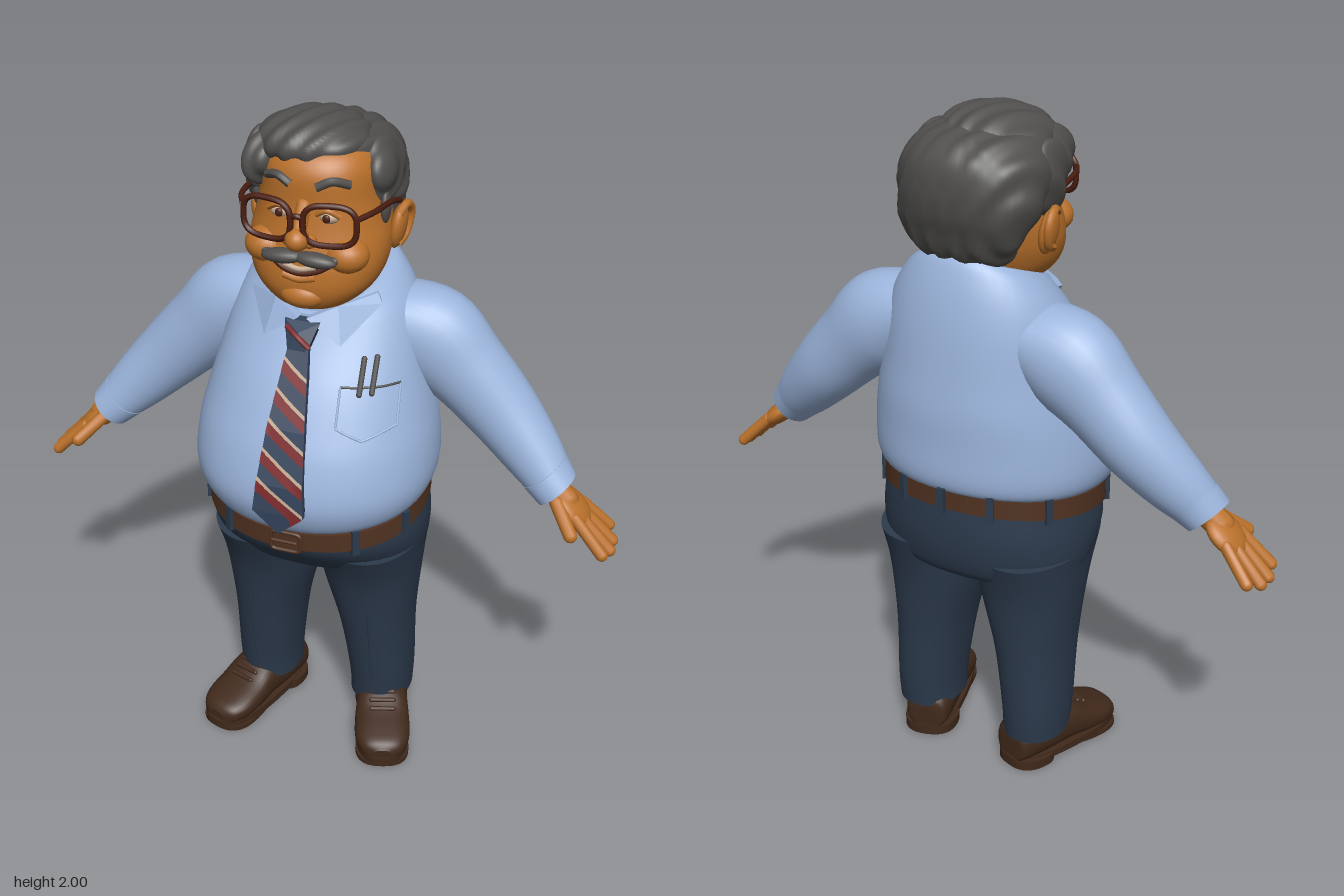
import * as THREE from 'three';
import { ConvexGeometry } from 'three/addons/geometries/ConvexGeometry.js';

const V = (x, y, z) => new THREE.Vector3(x, y, z);
const paint = (name, color) => Object.assign(new THREE.MeshStandardMaterial({ color }), { name });
const M = {
  shirt: paint('shirt blue', 0x9cb5dc), trousers: paint('trouser navy', 0x2c3a4c), skin: paint('skin', 0xba712b),
  hair: paint('hair grey', 0x4f4e4c), leather: paint('belt leather', 0x4e3120), shoe: paint('shoe brown', 0x40291b),
  tie: paint('tie navy', 0x34435a), red: paint('tie red', 0x7d2a2c), cream: paint('cream', 0xc4ab92),
  frame: paint('spectacle frame', 0x4a1d10),
};

// Catmull-Rom interpolation between rows of numbers
function smooth(rows, k = 5) {
  const out = [], at = i => rows[Math.min(Math.max(i, 0), rows.length - 1)];
  for (let i = 0; i < rows.length - 1; i++) for (let j = 0; j < k; j++) {
    const t = j / k, [a, b, c, d] = [at(i - 1), at(i), at(i + 1), at(i + 2)];
    out.push(b.map((v, n) => {
      const cubic = 3 * (v - c[n]) + d[n] - a[n], square = 2 * a[n] - 5 * v + 4 * c[n] - d[n];
      return v + 0.5 * t * (c[n] - a[n] + t * (square + t * cubic));
    }));
  }
  return [...out, rows[rows.length - 1]];
}

// Closed skin over rings of points, with flat end caps, always facing outwards
function skin(rings) {
  const n = rings[0].length, pts = rings.flat(), idx = [];
  for (let i = 0; i < rings.length - 1; i++) for (let j = 0; j < n; j++) {
    const a = i * n + j, b = i * n + (j + 1) % n;
    idx.push(a, a + n, b, b, a + n, b + n);
  }
  [rings[0], rings[rings.length - 1]].forEach((ring, end) => {
    const c = pts.length;
    pts.push(ring.reduce((s, p) => s.add(p), V(0, 0, 0)).divideScalar(n), ...ring.map(p => p.clone()));
    for (let j = 0; j < n; j++) {
      const a = c + 1 + j, b = c + 1 + (j + 1) % n;
      if (end) idx.push(c, b, a);
      else idx.push(c, a, b);
    }
  });
  let volume = 0;
  for (let i = 0; i < idx.length; i += 3) volume += pts[idx[i]].dot(V(0, 0, 0).crossVectors(pts[idx[i + 1]], pts[idx[i + 2]]));
  if (volume < 0) idx.reverse();
  const g = new THREE.BufferGeometry().setFromPoints(pts);
  g.setIndex(idx);
  g.computeVertexNormals();
  return g;
}
const around = (n, fn, p = 2) => Array.from({ length: n }, (_, j) => {
  const a = j / n * Math.PI * 2, f = v => Math.sign(v) * Math.pow(Math.abs(v), 2 / p);
  return fn(f(Math.cos(a)), f(Math.sin(a)));
});
// Upright loft from rows of [y, half width, front z, back z, tilt, centre x]
function loft(rows, p = 2, k = 5) {
  const full = rows.map(r => [...r, 0, 0].slice(0, 6));
  return skin(smooth(full, k).map(([y, rx, zf, zb, tilt, cx]) => around(48, (c, s) => {
    const z = (zf + zb) / 2 + s * (zf - zb) / 2;
    return V(cx + rx * c, y + tilt * z, z);
  }, p)));
}
// Front surface z of a loft
function frontZ(rows, x, y, p) {
  const i = Math.max(1, rows.findIndex(r => r[0] >= y)), a = rows[i - 1], b = rows[i], t = (y - a[0]) / (b[0] - a[0]);
  const [rx, zf, zb] = [1, 2, 3].map(n => a[n] + (b[n] - a[n]) * t);
  return (zf + zb) / 2 + (zf - zb) / 2 * Math.pow(Math.max(0, 1 - Math.pow(Math.abs(x) / rx, p)), 1 / p);
}
const ball = (x, y, z, rx, ry, rz, turn = 0, seg = 24) =>
  new THREE.SphereGeometry(1, seg, seg / 2).scale(rx, ry, rz).rotateZ(turn).translate(x, y, z);
const tube = (pts, r, closed = false) => new THREE.TubeGeometry(new THREE.CatmullRomCurve3(pts, closed), closed ? 48 : 20, r, 8, closed);
function limb(a, b, r) {
  const d = b.clone().sub(a), q = new THREE.Quaternion().setFromUnitVectors(V(0, 1, 0), d.clone().normalize());
  return new THREE.CapsuleGeometry(r, d.length(), 5, 12).applyQuaternion(q).translate((a.x + b.x) / 2, (a.y + b.y) / 2, (a.z + b.z) / 2);
}
// Combed strands as fine ridges
function comb(g) {
  const p = g.attributes.position, n = g.attributes.normal;
  for (let i = 0; i < p.count; i++) {
    const d = 0.005 * Math.sin(95 * p.getX(i) + 45 * p.getZ(i) + 4 * Math.sin(14 * p.getY(i)));
    p.setXYZ(i, p.getX(i) + n.getX(i) * d, p.getY(i) + n.getY(i) * d, p.getZ(i) + n.getZ(i) * d);
  }
  g.computeVertexNormals();
  return g;
}
function mirrored(geo) {
  const g = geo.clone().scale(-1, 1, 1);
  const idx = g.index ? Array.from(g.index.array) : Array.from({ length: g.attributes.position.count }, (_, i) => i);
  g.setIndex(idx.reverse());
  g.computeVertexNormals();
  return g;
}

export function createModel() {
  const model = new THREE.Group();
  model.name = 'man';
  const add = (name, geo, mat) => { const m = new THREE.Mesh(geo, mat); m.name = name; model.add(m); };
  const pair = (name, geo, mat) => { add(name + 'Left', geo, mat); add(name + 'Right', mirrored(geo), mat); };

  // Shirt body and collar
  const torso = [[0.905, 0.30, 0.25, -0.305, -0.16], [0.935, 0.335, 0.29, -0.325, -0.12], [1.0, 0.352, 0.315, -0.335, -0.05],
    [1.1, 0.346, 0.29, -0.335, 0], [1.2, 0.325, 0.245, -0.335, 0], [1.3, 0.30, 0.19, -0.325, 0], [1.4, 0.275, 0.13, -0.31, -0.1],
    [1.46, 0.245, 0.10, -0.29, -0.25], [1.5, 0.205, 0.085, -0.265, -0.4], [1.53, 0.17, 0.08, -0.25, -0.4]];
  add('shirtBody', loft(torso, 2.15), M.shirt);
  add('collarBand', loft([[1.445, 0.188, 0.105, -0.272, -0.4], [1.515, 0.172, 0.095, -0.255, -0.4]]), M.shirt);
  const wing = [V(0.012, 1.478, 0.125), V(0.11, 1.412, 0.128), V(0.19, 1.5, 0.01), V(0.175, 1.525, 0.0), V(0.09, 1.51, 0.085)];
  pair('collarWing', new ConvexGeometry([...wing, ...wing.map(p => V(p.x * 0.95, p.y, p.z - 0.025))]), M.shirt);

  // Sleeves
  const arm = smooth([[0.16, 1.41, -0.13, 0.10, 0.12], [0.29, 1.355, -0.135, 0.145, 0.125], [0.40, 1.262, -0.135, 0.122, 0.112],
    [0.51, 1.152, -0.13, 0.106, 0.102], [0.61, 1.05, -0.105, 0.088, 0.086], [0.685, 0.972, -0.075, 0.066, 0.07]]);
  const armRings = rows => rows.map(([x, y, z, r, rz], i) => {
    const a = rows[Math.max(i - 1, 0)], b = rows[Math.min(i + 1, rows.length - 1)], l = Math.hypot(b[0] - a[0], b[1] - a[1]);
    return around(28, (c, s) => V(x - (b[1] - a[1]) / l * r * c, y + (b[0] - a[0]) / l * r * c, z + rz * s));
  });
  pair('sleeve', skin(armRings(arm)), M.shirt);
  pair('cuff', skin(armRings([[0.652, 1.007, -0.087, 0.077, 0.079], [0.694, 0.963, -0.072, 0.067, 0.073]])), M.shirt);

  // Hands
  const place = g => g.rotateZ(-0.72).translate(0.685, 0.97, -0.06);
  pair('wrist', place(limb(V(-0.03, 0, -0.01), V(0.05, 0, 0), 0.04)), M.skin);
  pair('palm', place(ball(0.078, 0, -0.005, 0.072, 0.03, 0.066)), M.skin);
  [0.225, 0.243, 0.24, 0.212].forEach((reach, i) => {
    const z = 0.043 - i * 0.032;
    pair('finger' + (i + 1), place(limb(V(0.10, 0.005, z), V(reach, -0.004, z * 1.55), 0.0175)), M.skin);
  });
  pair('thumb', place(limb(V(0.03, -0.005, 0.035), V(0.115, -0.012, 0.098), 0.02)), M.skin);

  // Trousers
  add('trouserSeat', loft([[0.63, 0.2, 0.06, -0.2], [0.67, 0.295, 0.135, -0.272], [0.72, 0.318, 0.187, -0.302],
    [0.80, 0.325, 0.235, -0.316, -0.06], [0.9, 0.312, 0.25, -0.308, -0.17]], 2.2), M.trousers);
  pair('trouserLeg', loft([[0.105, 0.093, 0.022, -0.212, 0, 0.185], [0.2, 0.097, 0.036, -0.22, 0, 0.185], [0.4, 0.112, 0.07, -0.228, 0, 0.172],
    [0.6, 0.146, 0.115, -0.25, 0, 0.156], [0.74, 0.155, 0.18, -0.29, 0, 0.162]], 2.2), M.trousers);
  pair('frontCrease', tube([V(0.19, 0.2, 0.035), V(0.19, 0.35, 0.059), V(0.19, 0.5, 0.09)], 0.004), M.trousers);

  // Belt, loops and buckle
  add('belt', loft([[0.855, 0.326, 0.262, -0.319, -0.17], [0.912, 0.32, 0.262, -0.317, -0.17]], 2.2), M.leather);
  for (const deg of [25, 55, 125, 155, 215, 245, 270, 295, 325]) {
    const a = deg * Math.PI / 180, z = -0.028 + 0.3 * Math.sin(a);
    add('beltLoop', new THREE.BoxGeometry(0.022, 0.078, 0.016).rotateY(Math.PI / 2 - a).translate(0.333 * Math.cos(a), 0.882 - 0.17 * z, z), M.trousers);
  }
  add('buckle', tube(around(32, (c, s) => V(0.045 * c, 0.838 + 0.03 * s, 0.268), 6), 0.006, true), M.leather);
  add('bucklePin', limb(V(-0.04, 0.838, 0.27), V(0.03, 0.838, 0.27), 0.005), M.leather);

  // Shoes, turned outwards
  const stand = g => g.rotateY(0.32).translate(0.212, 0, -0.012);
  const foot = smooth([[-0.2, 0.035, 0.09], [-0.185, 0.064, 0.13], [-0.1, 0.078, 0.155], [0, 0.08, 0.15], [0.07, 0.085, 0.115],
    [0.14, 0.083, 0.092], [0.185, 0.062, 0.075], [0.203, 0.03, 0.055]]);
  const footRing = ([z, w, h]) => around(28, (c, s) => V(w * c, 0.012 + h / 2 + (h / 2 - 0.006) * s, z), 2.5);
  pair('shoe', stand(skin(foot.map(footRing))), M.shoe);
  const sole = (z0, z1, h, y) => skin([y, y + h].map(v => around(36, (c, s) => V((0.082 + 0.008 * s) * c, v, (z0 + z1) / 2 + (z1 - z0) / 2 * s), 2.6)));
  pair('sole', stand(sole(-0.205, 0.212, 0.022, 0.012)), M.shoe);
  pair('heel', stand(sole(-0.205, -0.06, 0.03, 0)), M.shoe);
  pair('frontTread', stand(sole(-0.01, 0.206, 0.014, 0)), M.shoe);
  for (let i = 0; i < 3; i++) {
    const y = 0.148 - i * 0.014, z = 0.025 + i * 0.025;
    pair('lace' + (i + 1), stand(limb(V(-0.035, y, z), V(0.035, y, z), 0.007)), M.shoe);
  }

  // Tie with slanted stripes
  const tie = [[0.905, 0.002, 0.328], [0.97, 0.075, 0.331], [1.05, 0.068, 0.318], [1.2, 0.055, 0.262], [1.42, 0.028, 0.15]];
  const tieAt = (y, n) => {
    const i = Math.max(1, tie.findIndex(r => r[0] >= y)), a = tie[i - 1], b = tie[i];
    return a[n] + (b[n] - a[n]) * (y - a[0]) / (b[0] - a[0]);
  };
  add('tieBlade', new ConvexGeometry(tie.flatMap(([y, w, z]) => [V(w, y, z), V(-w, y, z), V(w, y, z - 0.015), V(-w, y, z - 0.015)])), M.tie);
  const stripe = (c, h) => {
    const pts = [], idx = [], w = tieAt(c, 1);
    for (let i = 0; i <= 8; i++) {
      for (const e of [0, h]) {
        const u = i / 4 - 1, y = c + e - 0.65 * u * w;
        pts.push(V(u * tieAt(y, 1), y, tieAt(y, 2) + 0.003));
      }
      const k = i * 2;
      if (i) idx.push(k - 2, k, k - 1, k - 1, k, k + 1);
    }
    const g = new THREE.BufferGeometry().setFromPoints(pts);
    g.setIndex(idx);
    g.computeVertexNormals();
    return g;
  };
  for (let c = 0.985; c < 1.37; c += 0.083) {
    add('tieRedStripe', stripe(c, 0.03), M.red);
    add('tieCreamStripe', stripe(c + 0.03, 0.011), M.cream);
  }
  const knot = [V(0.05, 1.47, 0.125), V(-0.05, 1.47, 0.125), V(0.028, 1.4, 0.168), V(-0.028, 1.4, 0.168), V(0, 1.45, 0.158)];
  add('tieKnot', new ConvexGeometry([...knot, ...knot.map(p => V(p.x, p.y, p.z - 0.04))]), M.tie);
  add('knotStripe', tube([V(-0.04, 1.455, 0.137), V(0, 1.437, 0.16), V(0.034, 1.41, 0.164)], 0.008), M.red);

  // Breast pocket with pens
  const onShirt = (x, y) => V(x, y, frontZ(torso, x, y, 2.15) + 0.002);
  const pocket = [[0.125, 1.31], [0.13, 1.21], [0.2, 1.175], [0.275, 1.2], [0.265, 1.3], [0.195, 1.305]];
  pocket.forEach(([x, y], i) => {
    const [x2, y2] = pocket[(i + 1) % 6];
    add('pocketSeam', tube([0, 0.5, 1].map(t => onShirt(x + (x2 - x) * t, y + (y2 - y) * t)), 0.0035), i > 3 ? M.hair : M.shirt);
  });
  for (const x of [0.175, 0.205]) add('pen', limb(onShirt(x, 1.29), onShirt(x, 1.38).add(V(0, 0, 0.012)), 0.008), M.hair);

  // Head, nose, cheeks, chin and ears
  const head = [[1.49, 0.05, 0.08, -0.06], [1.51, 0.11, 0.122, -0.11], [1.56, 0.165, 0.146, -0.16], [1.62, 0.19, 0.147, -0.19], [1.68, 0.193, 0.135, -0.21],
    [1.74, 0.181, 0.122, -0.23], [1.8, 0.172, 0.113, -0.24], [1.88, 0.16, 0.108, -0.23], [1.93, 0.125, 0.07, -0.2], [1.95, 0.05, 0.0, -0.1]];
  add('head', loft(head, 2.2), M.skin);
  const onFace = (x, y, out) => V(x, y, frontZ(head, x, y, 2.2) + out);
  add('chin', ball(0, 1.55, 0.115, 0.065, 0.04, 0.045), M.skin);
  pair('cheek', ball(0.112, 1.668, 0.085, 0.062, 0.05, 0.058), M.skin);
  add('noseTip', ball(0, 1.725, 0.158, 0.033, 0.032, 0.038), M.skin);
  add('noseBridge', limb(V(0, 1.8, 0.108), V(0, 1.74, 0.148), 0.02), M.skin);
  pair('nostril', ball(0.029, 1.717, 0.143, 0.019, 0.019, 0.022), M.skin);
  pair('ear', ball(0.2, 1.69, -0.09, 0.022, 0.066, 0.042, -0.15), M.skin);
  pair('earRim', tube([V(0.203, 1.64, -0.075), V(0.213, 1.66, -0.118), V(0.222, 1.72, -0.132), V(0.22, 1.755, -0.098), V(0.208, 1.735, -0.06)], 0.012), M.skin);

  // Eyes, brows, mouth and moustache
  pair('eyeWhite', ball(0.068, 1.775, 0.098, 0.028, 0.019, 0.022), M.cream);
  pair('iris', ball(0.066, 1.775, 0.118, 0.011, 0.012, 0.006), M.frame);
  pair('upperLid', tube([V(0.036, 1.783, 0.113), V(0.068, 1.798, 0.118), V(0.1, 1.78, 0.105)], 0.008), M.skin);
  pair('eyebrow', tube([onFace(0.035, 1.855, 0.004), onFace(0.075, 1.872, 0.005), onFace(0.115, 1.858, 0.003)], 0.012), M.hair);
  pair('moustache', ball(0.046, 1.668, 0.148, 0.06, 0.02, 0.026, -0.06), M.hair);
  pair('moustacheTip', ball(0.088, 1.666, 0.135, 0.022, 0.013, 0.018, 0.3), M.hair);
  const smile = (y, out) => [-0.08, -0.045, 0, 0.045, 0.08].map(x => onFace(x, y + x * x * 4, out));
  add('mouth', tube(smile(1.622, 0), 0.008), M.frame);
  add('teeth', tube(smile(1.634, 0.001).slice(1, 4), 0.008), M.cream);
  add('lowerLip', tube(smile(1.606, 0).slice(1, 4), 0.011), M.skin);

  // Spectacles
  pair('lensRim', tube(around(40, (c, s) => V(0.087 + 0.07 * c, 1.772 + 0.056 * s, 0.152 - 0.012 * c), 3), 0.0085, true), M.frame);
  add('bridge', tube([V(-0.02, 1.785, 0.16), V(0, 1.793, 0.166), V(0.02, 1.785, 0.16)], 0.008), M.frame);
  pair('temple', tube([V(0.158, 1.795, 0.14), V(0.185, 1.797, 0.08), V(0.198, 1.785, -0.03), V(0.203, 1.765, -0.09)], 0.008), M.frame);

  // Swept hair
  const backHair = [[1.59, 0.09, -0.13, -0.215], [1.64, 0.15, -0.12, -0.265], [1.71, 0.182, -0.12, -0.293, 0, -0.005],
    [1.76, 0.202, -0.05, -0.31, 0, -0.012], [1.82, 0.208, -0.01, -0.316, 0, -0.015], [1.88, 0.202, 0.03, -0.308, 0, -0.015],
    [1.92, 0.178, 0.05, -0.285, 0, -0.015], [1.95, 0.135, 0.04, -0.24, 0, -0.015], [1.967, 0.05, -0.03, -0.16, 0, -0.015]];
  add('backHair', comb(loft(backHair, 2.2, 8)), M.hair);
  add('topHair', comb(ball(-0.03, 1.928, -0.06, 0.155, 0.069, 0.15, 0.06, 80)), M.hair);
  add('fringeRight', comb(ball(-0.155, 1.875, -0.01, 0.055, 0.075, 0.09, -0.3, 60)), M.hair);
  add('sideHairRight', comb(ball(-0.19, 1.83, -0.08, 0.036, 0.1, 0.085, 0, 60)), M.hair);
  add('sideHairLeft', comb(ball(0.155, 1.855, -0.08, 0.045, 0.085, 0.095, 0.15, 60)), M.hair);
  pair('sideburn', ball(0.181, 1.765, -0.03, 0.014, 0.045, 0.025), M.hair);
  return model;
}
